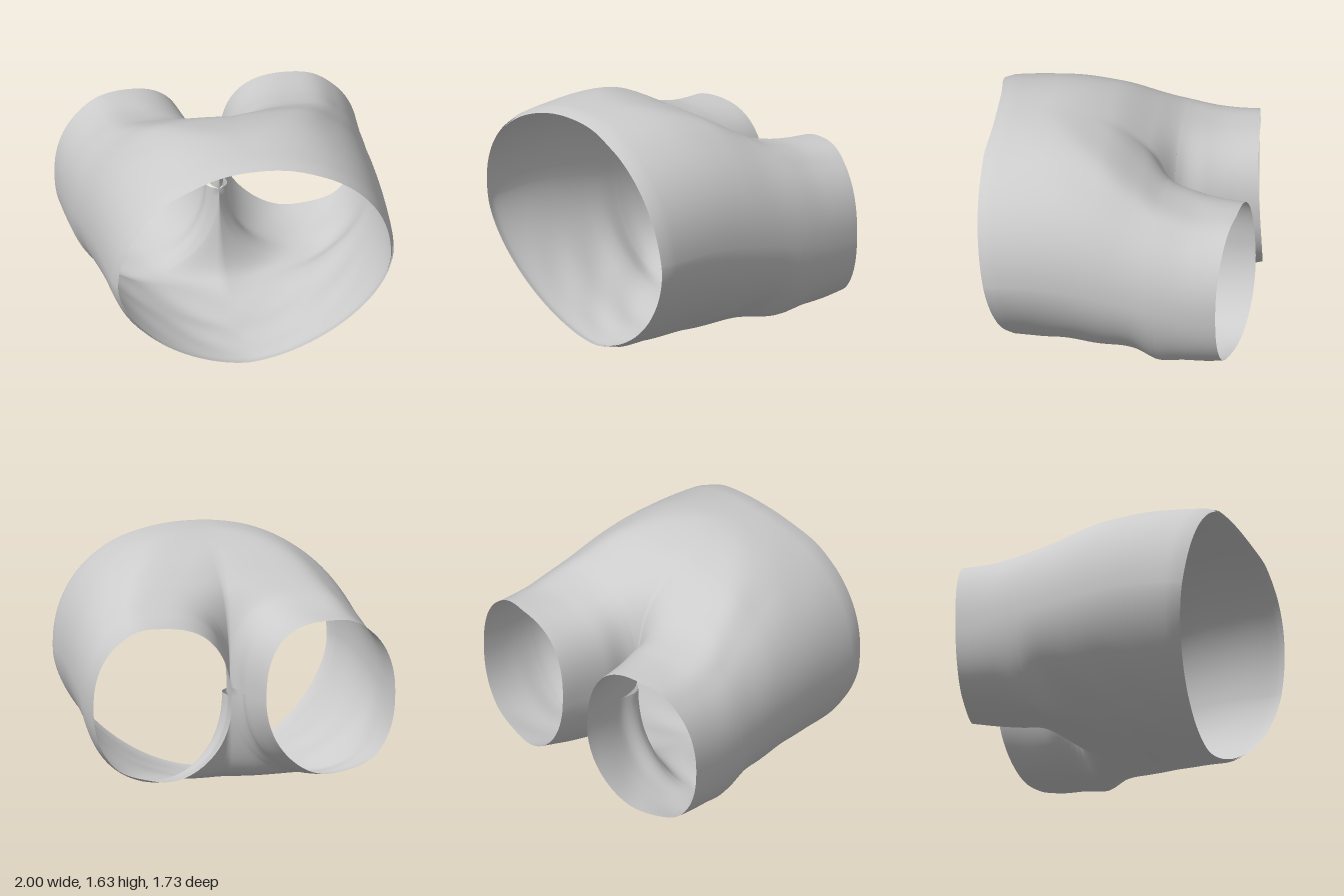
import * as THREE from 'three';
import { mergeVertices } from 'three/addons/utils/BufferGeometryUtils.js';

// Stations from waist to hem: v, outer x, inner x of the upper and the lower half
// (negative = the two sides are joined), top y, bottom y
const STATIONS = [
  [0.8, 0.922, -0.922, -0.922, 1.6, 0.0],
  [0.7, 0.932, -0.92, -0.932, 1.615, 0.008],
  [0.4, 0.948, -0.83, -0.948, 1.624, 0.04],
  [0.1, 0.962, -0.57, -0.93, 1.55, 0.065],
  [-0.15, 0.975, -0.25, -0.6, 1.415, 0.12],
  [-0.31, 0.985, 0, 0, 1.33, 0.16],
  [-0.5, 0.992, 0.057, 0.057, 1.28, 0.192],
  [-0.65, 0.996, 0.09, 0.09, 1.268, 0.22],
  [-0.8, 1.0, 0.115, 0.115, 1.266, 0.25],
];
const CROTCH = -0.31;
const spline = new THREE.CubicInterpolant(
  STATIONS.map((s) => -s[0]), STATIONS.flatMap((s) => s.slice(1)), 5);

const { clamp, lerp, smoothstep } = THREE.MathUtils;
const spow = (t, p) => Math.sign(t) * Math.abs(t) ** p;

// Point on one half of the garment; w runs 1 (top) to 0 (outer side) to -1 (bottom)
function surfacePoint(v, w, inset = 0) {
  const [outer, upper, lower, top, bottom] = spline.evaluate(-v);
  const inner = w >= 0 ? upper : lower;
  const cx = (outer + inner) / 2, rx = (outer - inner) / 2;
  const cy = (top + bottom) / 2, ry = (top - bottom) / 2;
  const legs = clamp((CROTCH - v) / 0.49, 0, 1);
  const front = smoothstep(v, 0, 0.7);

  // Roundness of the oval: squarer on the inner leg, narrower under the waist
  const outerN = w >= 0 ? 2.18 : lerp(2.0, 2.4, legs) - 0.3 * clamp(v / 0.8, 0, 1);
  const innerN = w >= 0 ? lerp(2.8, 2.5, legs) : lerp(2.2, 1.95, legs);
  const cutN = lerp(innerN, outerN, front);

  // The oval is cut at the middle plane until it closes into a leg
  const closed = v <= CROTCH + 1e-6;
  const c = clamp(cx / rx, 0, 1);
  const limit = closed ? Math.PI : Math.acos(-(c ** (cutN / 2)));
  const a = w * limit;
  // Blend both exponents across the top and bottom of the oval
  const n = lerp(outerN, cutN, smoothstep(Math.abs(a), 0.9, Math.PI / 2));
  let x = cx + rx * spow(Math.cos(a), 2 / n);
  let y = cy + ry * spow(Math.sin(a), 2 / n);
  if (!closed && Math.abs(w) === 1) x = 0;

  // Hem turn-in at the waist, and an optional inset for the inner band
  const k = 1 - inset - 0.014 * clamp((v - 0.75) / 0.05, 0, 1) ** 2;
  x *= k;
  y = cy + (y - cy) * k;

  // Slanted waist opening
  const slope = 0.065 - 0.22 * Math.max(0, (1.4 - y) / 1.4) ** 1.5
    - 0.03 * smoothstep(y, 1.5, 1.6);
  let z = v + slope * clamp((v - 0.1) / 0.7, 0, 1);

  // Leg hems reach further down on the inner side, most of all low down
  const s = (x - 0.55) / 0.45;
  z += s * (s > 0 ? 0.075 : 0.1 - 0.05 * y) * legs ** 1.5;

  // Faint cloth folds, stronger below
  const fold = 0.002 + 0.004 * clamp((0.6 - y) / 0.5, 0, 1);
  y += fold * Math.sin(v * 17 + x * 9) * Math.sin(x * 7) * clamp((0.75 - v) * 4, 0, 1);
  return [x, Math.max(0, y), z];
}

// Grid over the given rows, mirrored and welded along the middle seam
function clothGeometry(rows, columns, inset) {
  const positions = [], index = [];
  for (const side of [1, -1]) {
    const start = positions.length / 3;
    rows.forEach((v, i) => {
      for (let j = 0; j <= columns; j++) {
        const [x, y, z] = surfacePoint(v, 1 - (2 * j) / columns, inset);
        positions.push(side * x, y, z);
        if (i === 0 || j === 0) continue;
        const d = start + i * (columns + 1) + j;
        const c = d - 1, b = d - columns - 1, a = b - 1;
        if (side > 0) index.push(a, b, c, b, d, c);
        else index.push(a, c, b, b, c, d);
      }
    });
  }
  const geometry = new THREE.BufferGeometry();
  geometry.setAttribute('position', new THREE.Float32BufferAttribute(positions, 3));
  geometry.setIndex(index);
  const welded = mergeVertices(geometry, 1e-4);
  welded.computeVertexNormals();
  return welded;
}

export function createModel() {
  const group = new THREE.Group();
  group.name = 'shorts';
  const cloth = new THREE.MeshStandardMaterial({ color: 0xcccccc, side: THREE.DoubleSide });

  // Trunk rows crowd together towards the crotch, then run on down the legs
  const rows = [];
  for (let i = 0; i <= 44; i++) rows.push(CROTCH + (0.8 - CROTCH) * (1 - i / 44) ** 2);
  for (let i = 1; i <= 18; i++) rows.push(CROTCH - (0.49 * i) / 18);
  const shell = new THREE.Mesh(clothGeometry(rows, 80, 0), cloth);
  shell.name = 'trunkAndLegs';
  group.add(shell);

  // Folded band inside the waist
  const band = new THREE.Mesh(clothGeometry([0.8, 0.775, 0.75, 0.725], 80, 0.01), cloth);
  band.name = 'innerWaistband';
  group.add(band);
  return group;
}
